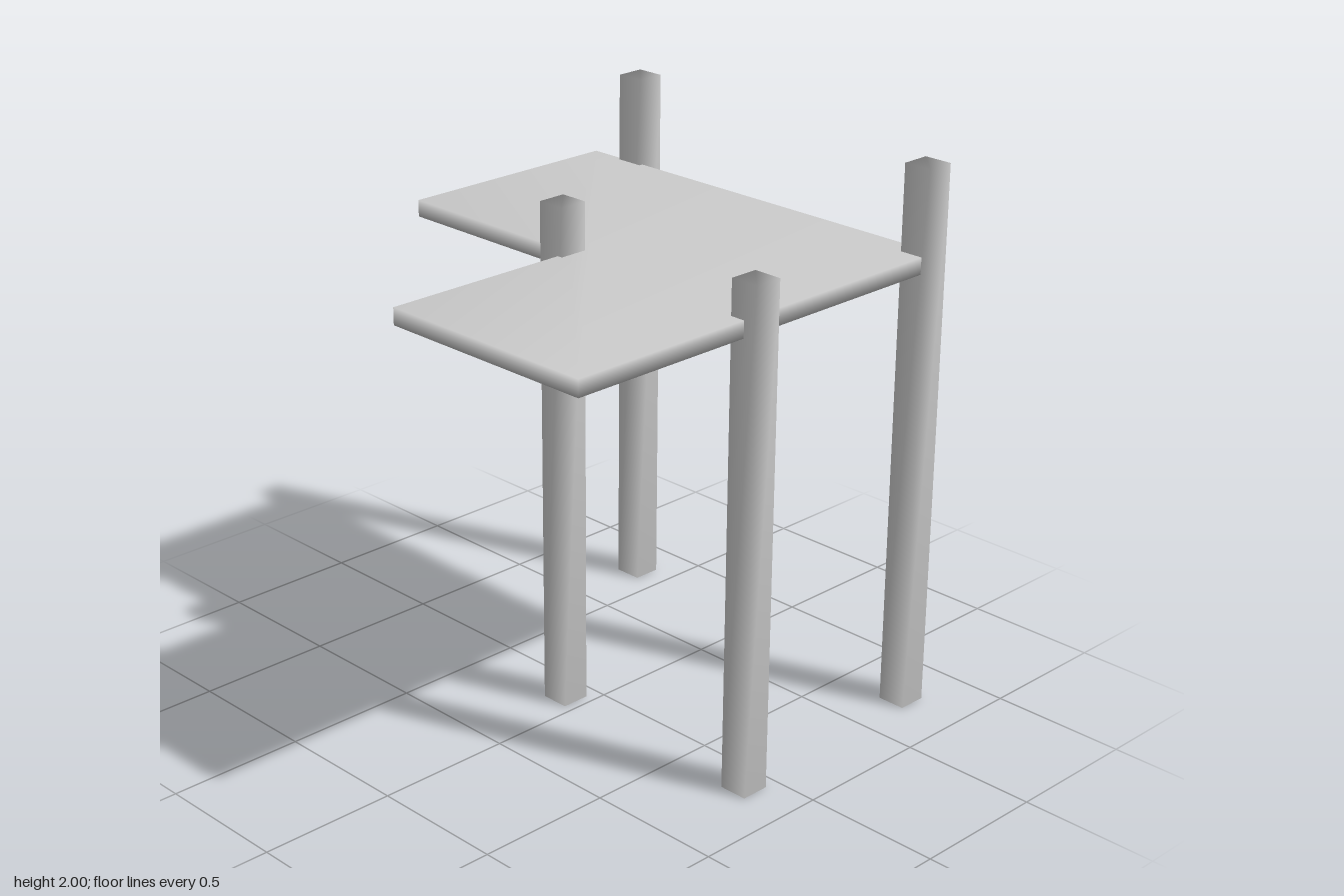
import * as THREE from 'three';
import { mergeVertices } from 'three/addons/utils/BufferGeometryUtils.js';

const material = new THREE.MeshStandardMaterial({ color: 0xcccccc });

// Share corner vertices so the normals blend softly across the edges
function soften(geometry) {
  geometry.deleteAttribute('normal');
  geometry.deleteAttribute('uv');
  const merged = mergeVertices(geometry, 1e-4);
  merged.computeVertexNormals();
  return merged;
}

function addPart(group, name, geometry) {
  const mesh = new THREE.Mesh(soften(geometry), material);
  mesh.name = name;
  group.add(mesh);
  return mesh;
}

export function createModel() {
  const group = new THREE.Group();
  group.name = 'lShapedCanopy';

  // L-shaped roof slab, drawn in plan as (x, -z) and laid flat
  const outline = [
    [-0.86, 0.785], [0.765, 0.785], [0.765, -0.835],
    [-0.1, -0.835], [-0.1, -0.055], [-0.86, -0.055],
  ].map(([x, z]) => new THREE.Vector2(x, -z));
  const slab = new THREE.ExtrudeGeometry(new THREE.Shape(outline), { depth: 0.06, bevelEnabled: false });
  slab.rotateX(-Math.PI / 2);
  slab.translate(0, 1.62, 0);
  addPart(group, 'roofSlab', slab);

  // Square posts of different heights: name, x, z, height
  const posts = [
    ['innerCornerPost', -0.105, -0.088, 1.85],
    ['frontMiddlePost', -0.105, 0.783, 1.805],
    ['frontLeftPost', 0.747, 0.75, 1.985],
    ['backLeftPost', 0.803, -0.643, 2],
  ];
  for (const [name, x, z, height] of posts) {
    const post = new THREE.BoxGeometry(0.105, height, 0.105);
    addPart(group, name, post).position.set(x, height / 2, z);
  }

  return group;
}
